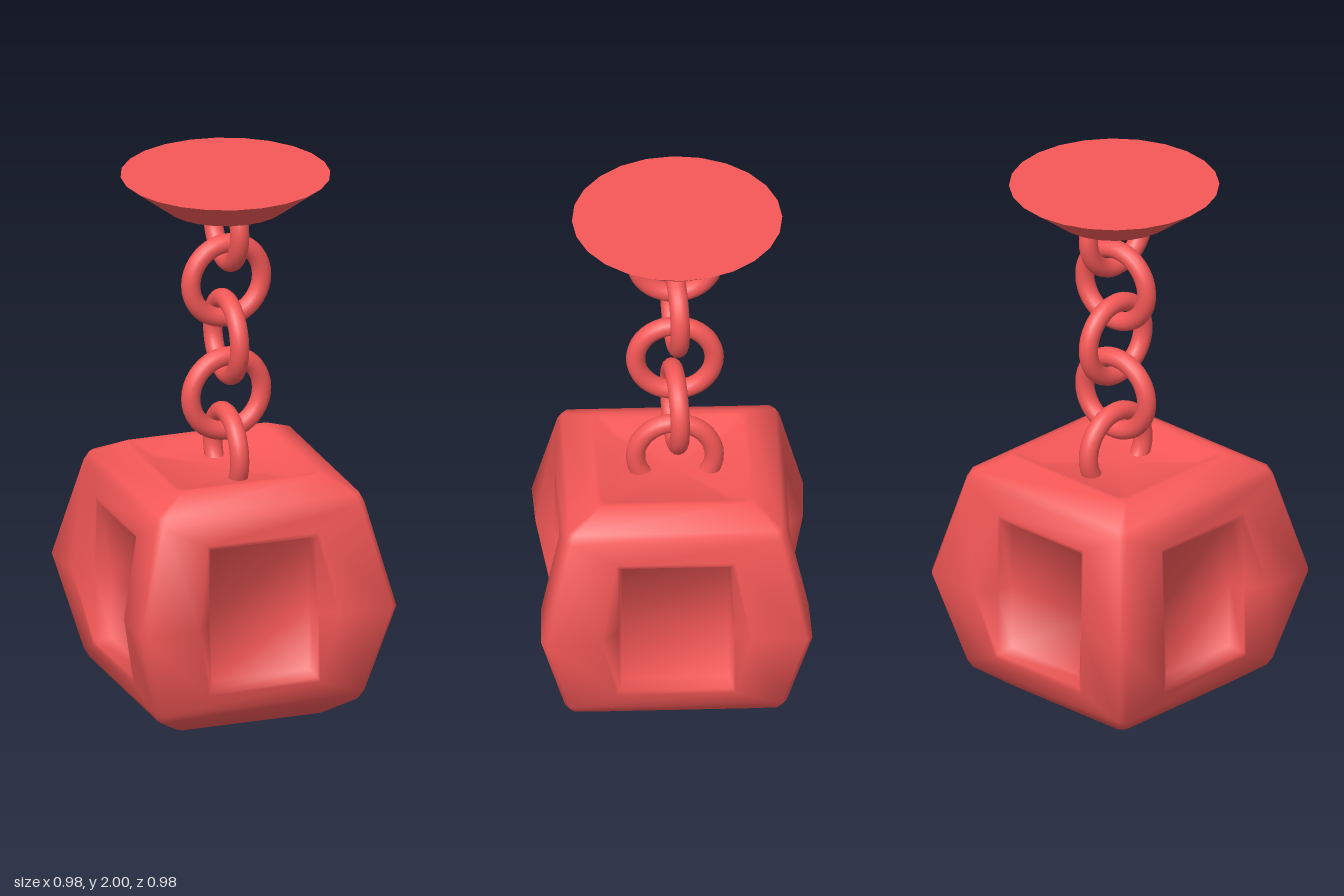
import * as THREE from 'three';
import { mergeVertices } from 'three/addons/utils/BufferGeometryUtils.js';

const CHAIN_X = 0.012, CHAIN_Z = -0.01;
const BEVEL = 0.02;

// Smooth normals in which each face counts by its corner angle
function smoothByAngle(geo) {
  const p = geo.attributes.position, index = geo.index.array;
  const sums = Array.from({ length: p.count }, () => new THREE.Vector3());
  const corner = i => new THREE.Vector3().fromBufferAttribute(p, i);
  for (let t = 0; t < index.length; t += 3) {
    for (let c = 0; c < 3; c++) {
      const [i, j, k] = [0, 1, 2].map(n => index[t + (c + n) % 3]);
      const u = corner(j).sub(corner(i)), v = corner(k).sub(corner(i));
      const normal = u.clone().cross(v).normalize();
      if (u.length() && v.length()) sums[i].addScaledVector(normal, u.angleTo(v));
    }
  }
  const normals = sums.flatMap(n => n.normalize().toArray());
  geo.setAttribute('normal', new THREE.Float32BufferAttribute(normals, 3));
  return geo;
}

// Faceted block with a sunken panel on every side
function bodyGeometry() {
  const pos = [];
  const quad = (a, b, c, d) => [a, b, c, a, c, d].forEach(p => pos.push(...p));
  const turn = ([x, y, z], k) => {
    for (let i = 0; i < k; i++) [x, z] = [z, -x];
    return [x, y, z];
  };
  const bridge = (A, B, flip) => A.forEach((p, i) => {
    const j = (i + 1) % A.length;
    if (flip) quad(B[i], B[j], A[j], p);
    else quad(p, A[j], B[j], B[i]);
  });

  // Side panels: six-cornered loops given by their top, middle and bottom [x, y, z]
  const panelLoops = [
    [[0.4 - BEVEL, 0.83, 0.4], [0.49 - BEVEL, 0.45, 0.49], [0.4 - BEVEL, 0.105, 0.4]],
    [[0.215, 0.745, 0.415], [0.27, 0.45, 0.483], [0.215, 0.175, 0.426]],
    [[0.203, 0.73, 0.412], [0.21, 0.45, 0.42], [0.203, 0.193, 0.424]],
    [[0.193, 0.72, 0.36], [0.195, 0.45, 0.36], [0.193, 0.203, 0.36]],
  ];
  const mirror = ([x, y, z]) => [-x, y, z];
  for (let k = 0; k < 4; k++) {
    const loops = panelLoops.map(([t, m, b]) =>
      [t, mirror(t), mirror(m), mirror(b), b, m].map(p => turn(p, k)));
    for (let i = 0; i < loops.length - 1; i++) bridge(loops[i], loops[i + 1]);
    const f = loops[loops.length - 1];
    quad(f[0], f[1], f[2], f[5]);
    quad(f[5], f[2], f[3], f[4]);

    // Narrow bevel along the upright corner
    const P = panelLoops[0].map(p => turn(p, k));
    const Q = panelLoops[0].map(([x, y, z]) => turn([z, y, x], k));
    for (let i = 0; i < 2; i++) quad(P[i + 1], Q[i + 1], Q[i], P[i]);
  }

  // Top and bottom: square rings [half width, y] stepping in to a shallow recess
  const ring = ([h, y]) => [0, 1, 2, 3].flatMap(k =>
    [turn([h - BEVEL, y, h], k), turn([h, y, h - BEVEL], k)]);
  const cap = (steps, flip) => {
    const rings = steps.map(ring);
    for (let i = 0; i < rings.length - 1; i++) bridge(rings[i], rings[i + 1], flip);
    const last = rings[rings.length - 1];
    const y = steps[steps.length - 1][1];
    bridge(last, last.map(() => [0, y, 0]), flip);
  };
  cap([[0.4, 0.83], [0.385, 0.863], [0.285, 0.92], [0.26, 0.915], [0.21, 0.88]], false);
  cap([[0.4, 0.105], [0.385, 0.075], [0.285, 0], [0.26, 0.005], [0.21, 0.04]], true);

  const geo = new THREE.BufferGeometry();
  geo.setAttribute('position', new THREE.Float32BufferAttribute(pos, 3));
  return smoothByAngle(mergeVertices(geo, 1e-4));
}

export function createModel() {
  const group = new THREE.Group();
  const red = new THREE.MeshStandardMaterial({ color: 0xf55857 });
  const add = (name, geo, parent = group) => {
    const mesh = new THREE.Mesh(geo, red);
    mesh.name = name;
    parent.add(mesh);
    return mesh;
  };

  add('body', bodyGeometry());

  // Chain of round links, alternately turned about a quarter
  const chain = new THREE.Group();
  chain.name = 'chain';
  group.add(chain);
  const linkGeo = new THREE.TorusGeometry(0.142, 0.035, 14, 40);
  for (let i = 0; i < 5; i++) {
    const link = add('chainLink', linkGeo, chain);
    link.position.set(CHAIN_X, 0.943 + i * 0.2175, CHAIN_Z);
    link.rotation.y = i % 2 ? 0.1 : Math.PI / 2;
  }

  // Flared ceiling mount
  const mount = add('ceilingMount', new THREE.CylinderGeometry(0.38, 0.22, 0.12, 24));
  mount.position.set(CHAIN_X, 1.94, -0.018);

  return group;
}
